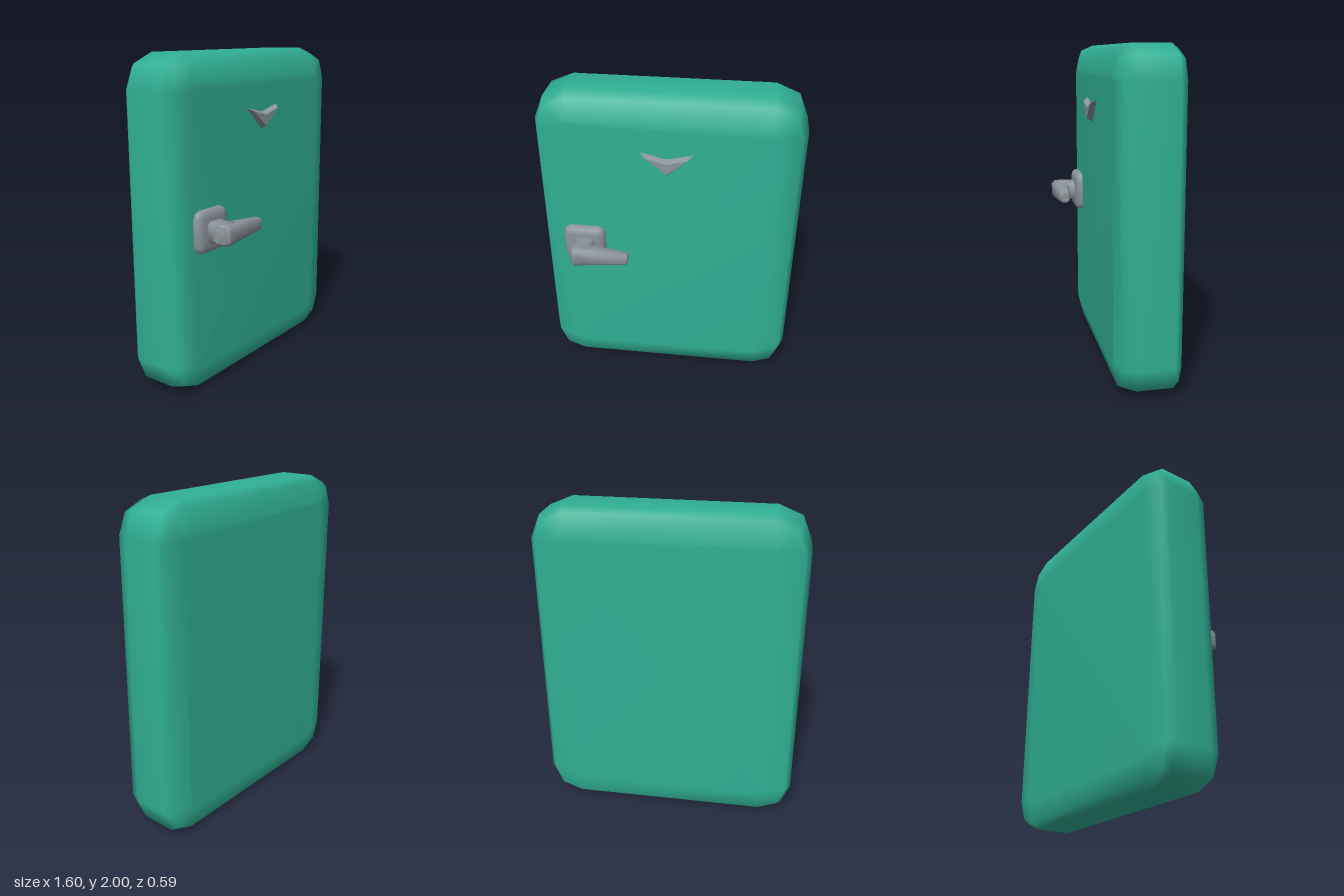
import * as THREE from 'three';
import { toCreasedNormals } from 'three/addons/utils/BufferGeometryUtils.js';

const green = new THREE.MeshStandardMaterial({ color: 0x30b094 });
green.name = 'green enamel';
const grey = new THREE.MeshStandardMaterial({ color: 0x8b939a });
grey.name = 'grey metal';

// Counter-clockwise outline of a rectangle with rounded corners
function roundedRect(cu, cv, hu, hv, r, segments) {
  const points = [];
  [[1, 1], [-1, 1], [-1, -1], [1, -1]].forEach(([su, sv], corner) => {
    for (let i = 0; i <= segments; i++) {
      const a = (corner + i / segments) * Math.PI / 2;
      points.push([cu + su * (hu - r) + r * Math.cos(a), cv + sv * (hv - r) + r * Math.sin(a)]);
    }
  });
  return points;
}

// Closed skin through rings ordered along the axis they turn about
function loft(rings) {
  const n = rings[0].length;
  const index = [];
  for (let k = 0; k < rings.length - 1; k++) {
    for (let i = 0; i < n; i++) {
      const a = k * n + i, b = k * n + (i + 1) % n;
      index.push(a, b, b + n, a, b + n, a + n);
    }
  }
  const last = (rings.length - 1) * n;
  for (let i = 1; i < n - 1; i++) {
    index.push(0, i + 1, i);
    index.push(last, last + i, last + i + 1);
  }
  const geometry = new THREE.BufferGeometry();
  geometry.setAttribute('position', new THREE.Float32BufferAttribute(rings.flat(2), 3));
  geometry.setIndex(index);
  geometry.computeVertexNormals();
  return geometry;
}

const alongZ = (outline, z) => outline.map(([u, v]) => [u, v, z]);
const alongX = (outline, x) => outline.map(([u, v]) => [x, u, v]);

function addMesh(parent, name, geometry, material) {
  const mesh = new THREE.Mesh(geometry, material);
  mesh.name = name;
  parent.add(mesh);
}

export function createModel() {
  const model = new THREE.Group();
  model.name = 'fridgeDoor';

  // Door panel: [z, inset] of each rounded outline, back to front
  const doorProfile = [
    [-0.295, 0.16], [-0.272, 0.034], [-0.23, 0], [-0.015, 0], [0.067, 0.034], [0.1, 0.16],
  ];
  addMesh(model, 'doorPanel', loft(doorProfile.map(([z, inset]) =>
    alongZ(roundedRect(0, 1, 0.8 - inset, 1 - inset, 0.2 - inset, 2), z))), green);

  // Handle: mounting plate, stem and tapered lever
  const handle = new THREE.Group();
  handle.name = 'handle';
  model.add(handle);

  const plateProfile = [[0.09, 0], [0.12, 0], [0.138, 0.012], [0.145, 0.04]];
  addMesh(handle, 'handlePlate', toCreasedNormals(loft(plateProfile.map(([z, inset]) =>
    alongZ(roundedRect(-0.52, 1.005, 0.13 - inset, 0.126 - inset, 0.045 - inset * 0.8, 2), z))), 0.9), grey);

  addMesh(handle, 'handleStem', toCreasedNormals(loft([0.14, 0.25].map((z) =>
    alongZ(roundedRect(-0.518, 1.003, 0.062, 0.062, 0.02, 1), z))), 0.9), grey);

  // Lever sections: x, half height, back z, front z, corner size
  const leverSections = [
    [-0.58, 0.05, 0.19, 0.278, 0.015],
    [-0.562, 0.063, 0.178, 0.295, 0.022],
    [-0.455, 0.055, 0.187, 0.289, 0.02],
    [-0.24, 0.038, 0.212, 0.276, 0.015],
    [-0.225, 0.028, 0.222, 0.266, 0.01],
  ];
  addMesh(handle, 'handleLever', toCreasedNormals(loft(leverSections.map(([x, hy, z0, z1, r]) =>
    alongX(roundedRect(1.003, (z0 + z1) / 2, hy, (z1 - z0) / 2, r, 1), x))), 0.9), grey);

  // Chevron badge with sloping sides
  const chevron = (halfWidth, top, notch, bottom) =>
    [[0, notch], [-halfWidth, top], [0, bottom], [halfWidth, top]];
  addMesh(model, 'chevronBadge', toCreasedNormals(loft([
    alongZ(chevron(0.155, 1.67, 1.635, 1.53), 0.095),
    alongZ(chevron(0.155, 1.67, 1.635, 1.53), 0.102),
    alongZ(chevron(0.125, 1.65, 1.617, 1.55), 0.135),
  ]), 0.3), grey);

  return model;
}
